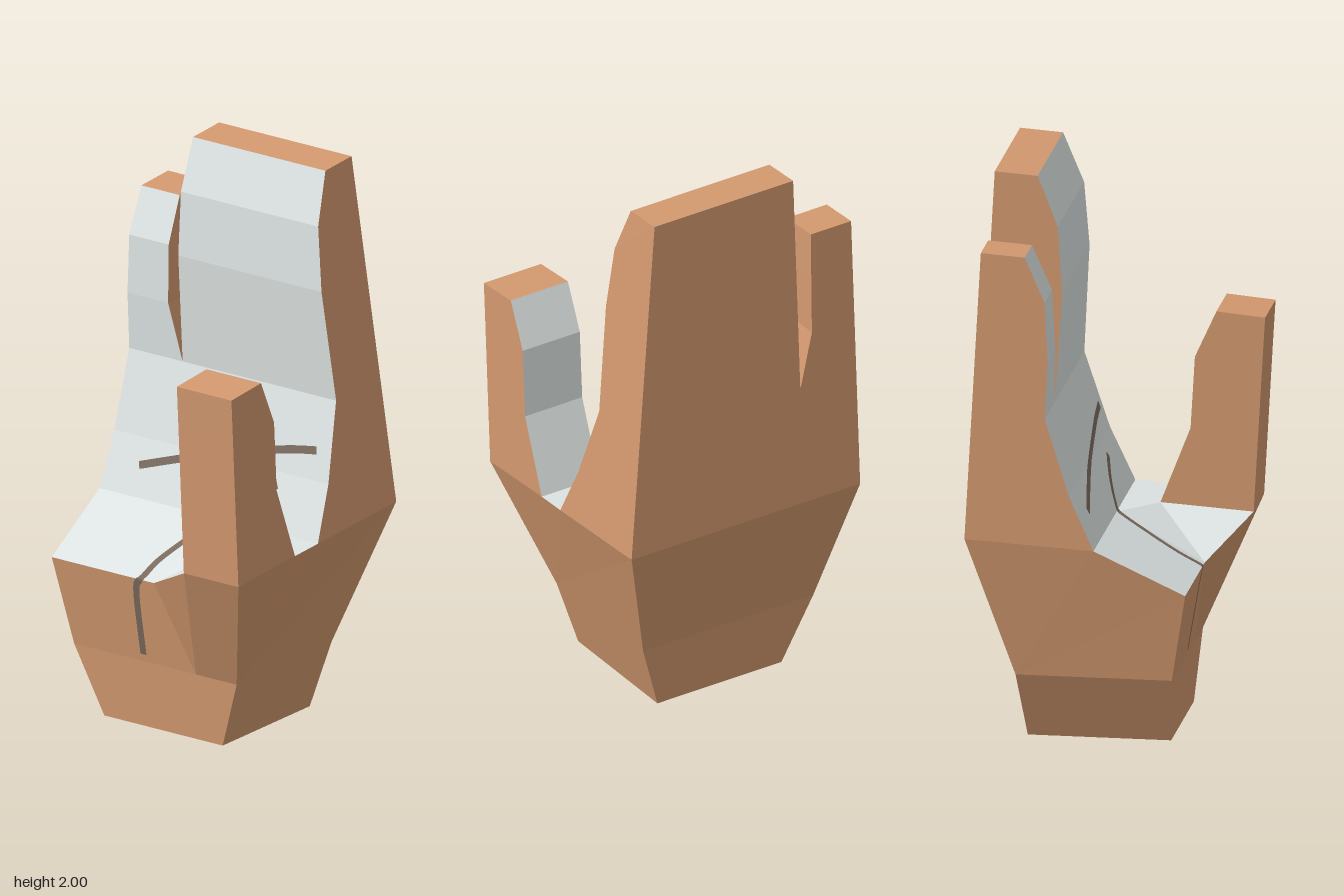
import * as THREE from 'three';

const flat = (name, color, side = THREE.FrontSide) => {
  const m = new THREE.MeshStandardMaterial({ color, side });
  m.name = name;
  return m;
};

// Flat-faced mesh from polygons, each a counter-clockwise list of [x, y, z] corners
function faceted(name, material, polygons) {
  const pos = [];
  for (const p of polygons)
    for (let i = 1; i < p.length - 1; i++) pos.push(...p[0], ...p[i], ...p[i + 1]);
  const g = new THREE.BufferGeometry();
  g.setAttribute('position', new THREE.Float32BufferAttribute(pos, 3));
  g.computeVertexNormals();
  const mesh = new THREE.Mesh(g, material);
  mesh.name = name;
  return mesh;
}

// Four-sided loft; rows are [xLow, xHigh, yFront, zFront, yBack, zBack].
// paleSide picks the side in the lining colour: 0 front, 2 back, -1 none.
function loft(name, rows, skin, lining, paleSide = -1) {
  const rings = rows.map(([a, b, yf, zf, yb, zb]) => [[a, yf, zf], [b, yf, zf], [b, yb, zb], [a, yb, zb]]);
  const outer = [], inner = [];
  for (let r = 0; r < rings.length - 1; r++)
    for (let k = 0; k < 4; k++) {
      const n = (k + 1) % 4;
      (k === paleSide ? inner : outer).push([rings[r][k], rings[r][n], rings[r + 1][n], rings[r + 1][k]]);
    }
  outer.push([...rings[0]].reverse(), rings[rings.length - 1]);
  const group = new THREE.Group();
  group.name = name;
  group.add(faceted(name + 'Skin', skin, outer));
  if (inner.length) group.add(faceted(name + 'Lining', lining, inner));
  return group;
}

// Palm profile as [distance along surface, y, z], from the wrist to the finger roots
const PROFILE = [[0, 0.245, 0.24], [0.325, 0.565, 0.295], [0.676, 0.72, -0.02], [0.884, 0.91, -0.105], [1.167, 1.18, -0.19]];

function onPalm(x, s) {
  let i = 0;
  while (i < PROFILE.length - 2 && s > PROFILE[i + 1][0]) i++;
  const [s0, y0, z0] = PROFILE[i], [s1, y1, z1] = PROFILE[i + 1];
  const t = (s - s0) / (s1 - s0);
  return [x, y0 + (y1 - y0) * t + 0.004, z0 + (z1 - z0) * t + 0.004];
}

// Thin ribbon laid over the palm along a path of [x, distance] points
function crease(name, path, width, material) {
  const curve = new THREE.SplineCurve(path.map(([x, s]) => new THREE.Vector2(x, s)));
  const N = 60, edges = [], quads = [];
  for (let i = 0; i <= N; i++) {
    const p = curve.getPoint(i / N), t = curve.getTangent(i / N), w = width / 2;
    edges.push([onPalm(p.x - t.y * w, p.y + t.x * w), onPalm(p.x + t.y * w, p.y - t.x * w)]);
  }
  for (let i = 0; i < N; i++)
    quads.push([edges[i][0], edges[i][1], edges[i + 1][1], edges[i + 1][0]]);
  return faceted(name, material, quads);
}

export function createModel() {
  const skin = flat('tan skin', 0xd3996f);
  const lining = flat('pale grey palm', 0xdce3e2);
  const line = flat('brown crease', 0x7a6a5e, THREE.DoubleSide);
  const hand = new THREE.Group();
  hand.name = 'hand';

  // Wrist
  hand.add(loft('wrist', [
    [-0.27, 0.24, 0, 0.22, 0, -0.28],
    [-0.385, 0.315, 0.245, 0.24, 0.245, -0.305],
  ], skin, lining));

  // Heel of the hand: lower ring corners, then upper rim corners
  const a = [-0.385, 0.245, 0.24], m1 = [-0.05, 0.245, 0.24], m2 = [0.14, 0.245, 0.24], b = [0.315, 0.245, 0.24];
  const aBack = [-0.385, 0.245, -0.305], bBack = [0.315, 0.245, -0.305];
  const heel = [-0.44, 0.565, 0.295], dip = [0, 0.565, 0.295];
  const thumbIn = [0.23, 0.69, 0.43], thumbOut = [0.465, 0.69, 0.43];
  const webIn = [0.23, 0.71, 0.105], webMid = [0.23, 0.704, 0.205], webOut = [0.465, 0.71, 0.105];
  const foldL = [-0.47, 0.72, -0.02], foldM = [0.05, 0.72, -0.02], foldR = [0.47, 0.72, -0.02];
  const backL = [-0.47, 0.745, -0.47], backR = [0.47, 0.745, -0.47];
  hand.add(faceted('handHeel', skin, [
    [a, m1, dip, heel], [m1, m2, dip], [m2, thumbIn, dip], [m2, b, thumbOut, thumbIn],
    [b, bBack, backR, foldR, webOut, thumbOut],
    [aBack, a, heel, foldL, backL],
    [bBack, aBack, backL, backR],
  ]));
  hand.add(faceted('palmFloor', lining, [
    [heel, dip, foldM, foldL], [dip, webMid, webIn, foldM],
    [dip, thumbIn, webMid], [foldM, webIn, webOut, foldR],
  ]));

  // Upper palm and fingers share one sloping back and one tapering outer edge
  const backZ = y => -0.47 + 0.07 * (y - 0.745) / 1.255;
  const outerX = y => Math.min(0.47, 0.47 - 0.14 * (y - 0.745) / 1.255);
  const row = (y, zFront, xLow, xHigh = outerX(y), yBack = y) => [xLow, xHigh, y, zFront, yBack, backZ(yBack)];

  hand.add(loft('upperPalm', [
    row(0.72, -0.02, -0.47, 0.47, 0.745), row(0.91, -0.105, -0.47), row(1.185, -0.19, -0.47),
  ], skin, lining, 0));
  hand.add(loft('joinedFingers', [
    row(1.185, -0.19, -0.24), row(1.58, -0.165, -0.24), row(1.81, -0.18, -0.24),
    row(1.99, -0.25, -0.24, 0.33, 2),
  ], skin, lining, 0));
  hand.add(loft('littleFinger', [
    row(1.185, -0.19, -0.47, -0.24), row(1.39, -0.18, -0.47, -0.295),
    row(1.6, -0.19, -0.47, -0.3), row(1.76, -0.26, -0.47, -0.305, 1.77),
  ], skin, lining, 0));

  // Thumb, pale on the side facing the palm
  hand.add(loft('thumb', [
    [0.23, 0.465, 0.69, 0.43, 0.71, 0.105],
    [0.23, 0.465, 0.97, 0.446, 0.98, 0.21],
    [0.23, 0.465, 1.235, 0.461, 1.235, 0.225],
    [0.23, 0.465, 1.385, 0.47, 1.4, 0.3],
  ], skin, lining, 2));

  // Palm creases
  hand.add(crease('thumbCrease', [
    [-0.08, 0.025], [-0.08, 0.27], [-0.055, 0.335], [-0.045, 0.43], [0, 0.565],
    [0.05, 0.676], [0.13, 0.765], [0.25, 0.835],
  ], 0.026, line));
  hand.add(crease('fingerCrease', [
    [-0.33, 0.785], [-0.07, 0.874], [0.23, 0.957], [0.38, 0.985],
  ], 0.028, line));

  return hand;
}
